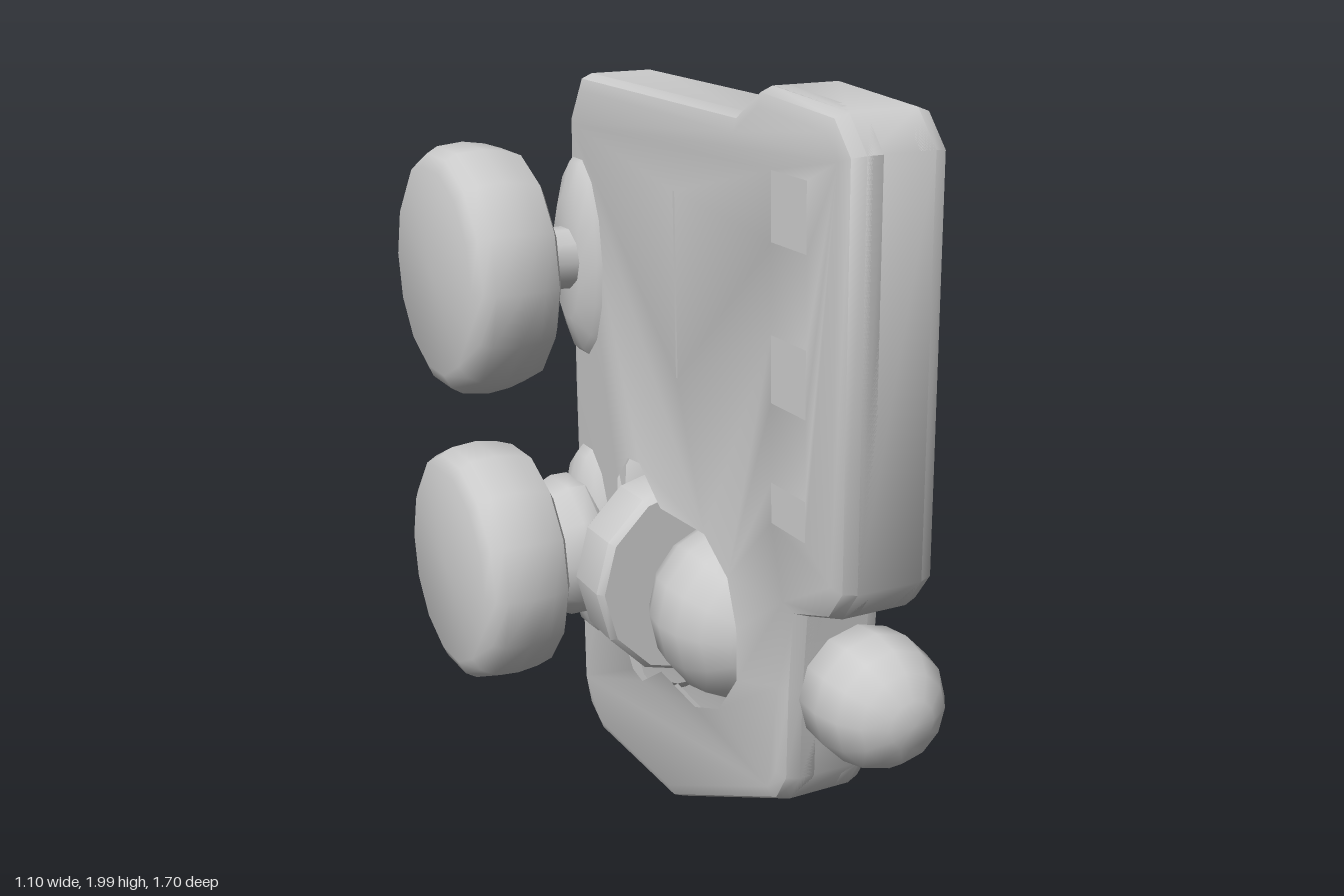
import * as THREE from 'three';
import { toCreasedNormals } from 'three/addons/utils/BufferGeometryUtils.js';

const material = new THREE.MeshStandardMaterial({ color: 0xcccccc });

function add(parent, name, geometry, crease = 0.9) {
  const mesh = new THREE.Mesh(toCreasedNormals(geometry, crease), material);
  mesh.name = name;
  parent.add(mesh);
  return mesh;
}

// Outlines are written as [z, y] and drawn so that depth runs along x.
const toPoints = (list) => list.map(([z, y]) => new THREE.Vector2(-z, y));

// The body leans slightly sideways towards the top.
function lean(geometry) {
  const p = geometry.attributes.position;
  for (let i = 0; i < p.count; i++) p.setX(i, p.getX(i) + 0.032 - p.getY(i) * 0.013);
  return geometry;
}

const outline = [
  [0.8, 1.9], [0.73, 1.98], [0.42, 2], [0.31, 1.93], [-0.52, 1.93], [-0.6, 1.81],
  [-0.63, 1.1], [-0.64, 0.15], [-0.6, 0.06], [-0.52, 0.01], [-0.06, 0.01], [0.5, 0.28],
  [0.55, 0.36], [0.56, 0.6], [0.58, 0.8], [0.73, 0.85], [0.79, 0.93],
];
const opening = [
  [0.36, 0.68], [0.31, 0.82], [0.17, 0.91], [-0.07, 0.9], [-0.19, 0.99], [-0.29, 0.98],
  [-0.38, 0.88], [-0.4, 0.62], [-0.37, 0.38], [-0.3, 0.28], [-0.21, 0.26], [-0.09, 0.34],
  [0.1, 0.32], [0.25, 0.38], [0.36, 0.52],
];
const pits = [[1.63, 1.87], [1.26, 1.5], [0.97, 1.15]];
const rect = (z0, z1, y0, y1) => [[z0, y0], [z1, y0], [z1, y1], [z0, y1]];

function plate(holes, x0, x1, bevel) {
  const shape = new THREE.Shape(toPoints(outline));
  shape.holes = holes.map((h) => new THREE.Path(toPoints(h)));
  const g = new THREE.ExtrudeGeometry(shape, {
    depth: x1 - x0 - 2 * bevel, bevelEnabled: bevel > 0, bevelThickness: bevel,
    bevelSize: bevel * 0.9, bevelOffset: -bevel * 0.9, bevelSegments: 2,
  });
  g.translate(0, 0, x0 + bevel);
  g.rotateY(Math.PI / 2);
  return lean(g);
}

// Solid of revolution along +x from [radius, x] pairs
function turned(profile, sides) {
  const g = new THREE.LatheGeometry(profile.map(([r, x]) => new THREE.Vector2(r, x)), sides);
  return g.rotateZ(-Math.PI / 2);
}

export function createModel() {
  const model = new THREE.Group();
  model.name = 'wheeledPlate';

  // Body: a core plate with a beveled, recessed panel on each side
  const body = new THREE.Group();
  body.name = 'body';
  model.add(body);
  add(body, 'corePlate', plate([opening], -0.085, 0.085, 0));
  const recesses = pits.map(([y0, y1]) => rect(0.45, 0.68, y0, y1));
  recesses.push(rect(-0.02, 0.07, 1.2, 1.75));
  add(body, 'leftPanel', plate([opening, ...recesses], 0.0, 0.13, 0.045), 0.7);
  add(body, 'rightPanel', plate([opening, ...recesses], -0.13, 0.0, 0.045), 0.7);

  for (const side of [1, -1]) {
    // Sloping floors, deepest towards the front
    for (const [y0, y1] of pits) {
      const floor = add(body, 'recessFloor', lean(new THREE.BoxGeometry(0.04, y1 - y0 + 0.06, 0.28)
        .rotateY(-side * 0.18).translate(side * 0.08, (y0 + y1) / 2, 0.565)));
      floor.name = side > 0 ? 'leftRecessFloor' : 'rightRecessFloor';
    }
    const grooveFloor = lean(new THREE.BoxGeometry(0.08, 0.62, 0.15).translate(side * 0.06, 1.475, 0.025));
    add(body, 'grooveFloor', grooveFloor);
  }

  // Wheels with axles and swollen mounts
  const tire = [
    [0, -0.125], [0.27, -0.125], [0.308, -0.105], [0.322, -0.06], [0.33, 0],
    [0.322, 0.07], [0.305, 0.1], [0.27, 0.118], [0, 0.125],
  ];
  for (const [level, y] of [['upper', 1.445], ['lower', 0.625]]) {
    const bulge = add(model, level + 'AxleMount', turned(
      [[0, -0.175], [0.17, -0.17], [0.26, -0.14], [0.31, -0.09], [0.31, 0.09],
        [0.26, 0.14], [0.17, 0.17], [0, 0.175]], 14), 1.2);
    bulge.position.set(0.01, y, -0.53);
    bulge.scale.set(1, 1, 0.5);

    const axle = add(model, level + 'Axle', turned(
      [[0.1, -0.34], [0.08, -0.28], [0.085, -0.15], [0.085, 0.15], [0.08, 0.28], [0.1, 0.34]], 10), 1.2);
    axle.position.set(0, y, -0.53);

    for (const side of [1, -1]) {
      const wheel = add(model, level + (side > 0 ? 'LeftWheel' : 'RightWheel'), turned(tire, 14), 0.75);
      wheel.position.set(side * 0.427, y, -0.515);
      wheel.rotation.y = side > 0 ? 0 : Math.PI;
      wheel.rotation.z += 0.02;
    }
  }

  // Thick tapered hub on the lower right axle
  const hub = add(model, 'lowerRightHub', turned(
    [[0, -0.31], [0.12, -0.31], [0.16, -0.29], [0.2, -0.2], [0.2, -0.15], [0.12, -0.08], [0, -0.08]], 10));
  hub.position.set(0, 0.62, -0.53);

  // Row along the opening: collar, ball, connecting rod and front knob
  const collar = add(model, 'collar', turned(
    [[0, -0.25], [0.15, -0.25], [0.25, -0.12], [0.275, -0.08], [0.28, 0.06], [0.265, 0.08], [0, 0.08]], 12), 0.7);
  collar.rotation.y = -Math.PI / 2;
  collar.position.set(0.02, 0.615, -0.225);

  const ball = add(model, 'ball', new THREE.SphereGeometry(0.238, 14, 10).rotateX(Math.PI / 2), 1.5);
  ball.position.set(0.03, 0.615, 0.095);

  const rod = add(model, 'connectingRod', turned(
    [[0.08, -0.35], [0.1, -0.2], [0.06, 0], [0.055, 0.06], [0.075, 0.12], [0.075, 0.32]], 10), 1.2);
  rod.rotation.y = -Math.PI / 2;
  rod.position.set(0.045, 0.605, 0.29);

  const knob = add(model, 'frontKnob', turned(
    [[0, -0.11], [0.135, -0.11], [0.158, -0.08], [0.165, 0], [0.15, 0.07],
      [0.115, 0.12], [0.06, 0.155], [0, 0.165]], 12), 1);
  knob.rotation.y = -Math.PI / 2;
  knob.position.set(0.06, 0.605, 0.685);

  return model;
}
